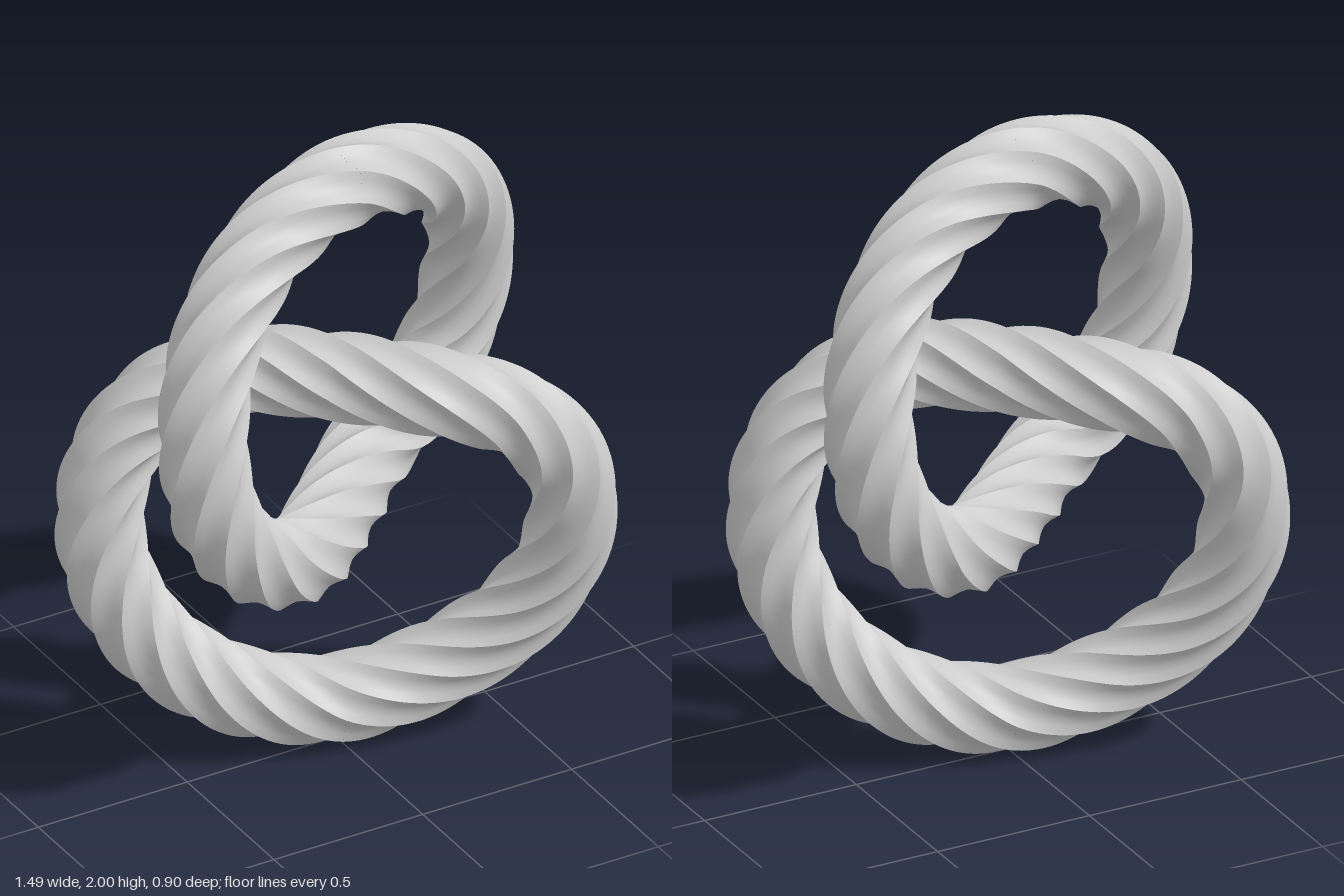
import * as THREE from 'three';
import { toCreasedNormals } from 'three/addons/utils/BufferGeometryUtils.js';

const SIDES = 8;            // ridges around the strand
const STEPS = 4;            // segments per flute
const SEGMENTS = 200;       // sections along the ring
const TURNS = 20 / SIDES;   // twist over one full loop

// Half of the bent loop, from the top down the right side; the rest is turned 180 degrees about y
const half = [
  [0, 1.868, 0], [0.3, 1.79, -0.09], [0.52, 1.6, -0.2], [0.615, 1.33, -0.29],
  [0.575, 1.06, -0.32], [0.43, 0.88, -0.295], [0.24, 0.795, -0.215],
];
const bottom = [0, 0.775, 0];

function loopCurve() {
  const left = half.slice(1).reverse().map(([x, y, z]) => [-x, y, -z]);
  const points = [...half, bottom, ...left].map((p) => new THREE.Vector3(...p));
  return new THREE.CatmullRomCurve3(points, true, 'centripetal');
}

// Sweep a fluted, sharp-ridged section round the loop while twisting it
function twistedRing() {
  const curve = loopCurve();
  const { normals, binormals } = curve.computeFrenetFrames(SEGMENTS, true);
  const around = SIDES * STEPS;
  const positions = [];
  const index = [];
  for (let i = 0; i <= SEGMENTS; i++) {
    const u = i / SEGMENTS;
    const centre = curve.getPointAt(u % 1);
    for (let j = 0; j < around; j++) {
      const angle = (j / around + TURNS * u) * Math.PI * 2;
      const radius = 0.134 - 0.02 * Math.sin((j % STEPS) / STEPS * Math.PI);
      const p = centre.clone()
        .addScaledVector(normals[i], radius * Math.cos(angle))
        .addScaledVector(binormals[i], radius * Math.sin(angle));
      positions.push(p.x, p.y, p.z);
      if (i < SEGMENTS) {
        const a = i * around + j;
        const b = i * around + (j + 1) % around;
        index.push(a, b, a + around, b, b + around, a + around);
      }
    }
  }
  const geometry = new THREE.BufferGeometry();
  geometry.setAttribute('position', new THREE.Float32BufferAttribute(positions, 3));
  geometry.setIndex(index);
  return toCreasedNormals(geometry, 0.6);
}

export function createModel() {
  const group = new THREE.Group();
  group.name = 'linkedRings';
  const material = new THREE.MeshStandardMaterial({ color: 0xcccccc });
  const geometry = twistedRing();

  const upper = new THREE.Mesh(geometry, material);
  upper.name = 'upperRing';

  // The lower ring is the same ring turned over about the x axis
  const lower = new THREE.Mesh(geometry, material);
  lower.name = 'lowerRing';
  lower.rotation.x = Math.PI;
  lower.position.y = 2;

  group.add(upper, lower);
  return group;
}
